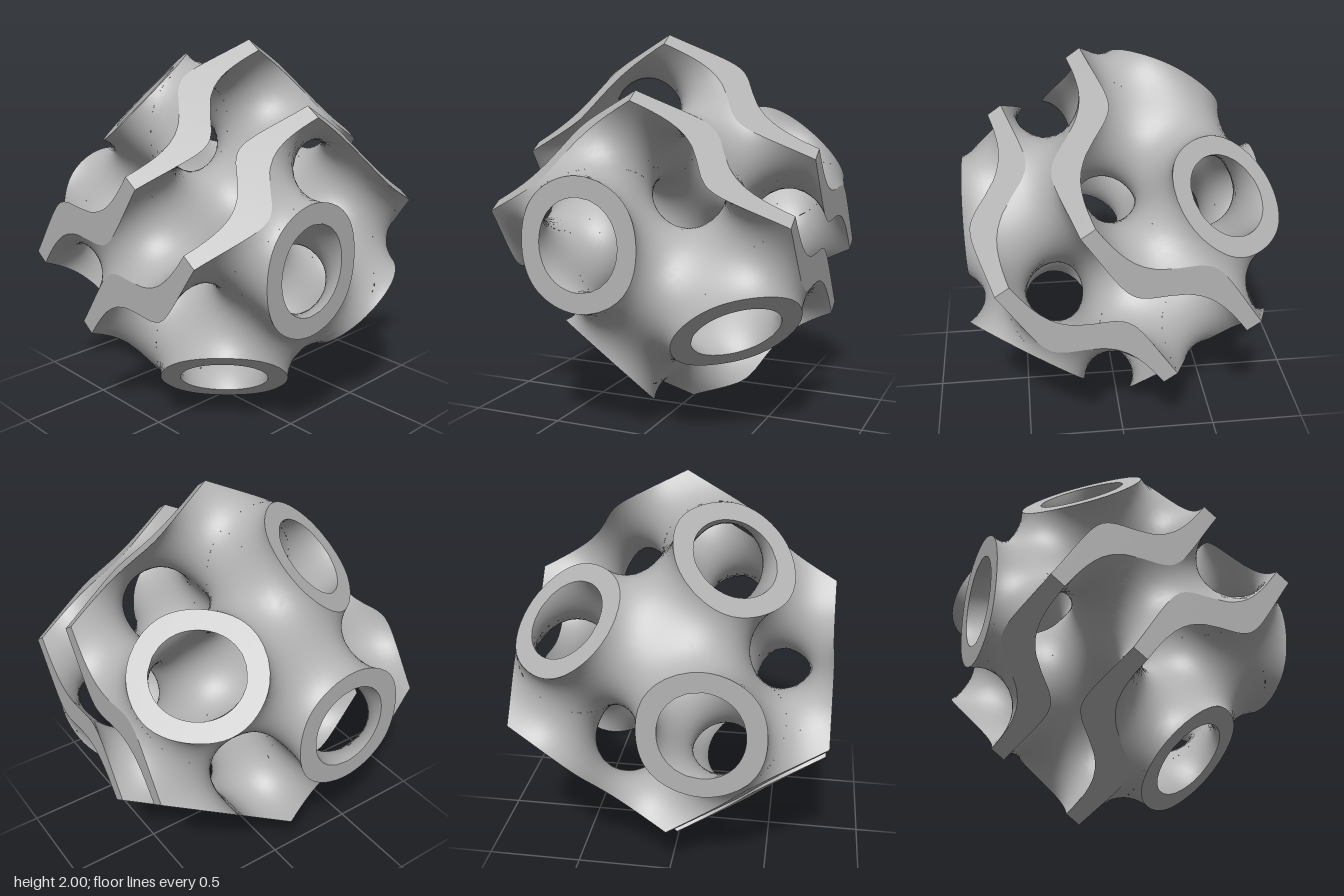
import * as THREE from 'three';

const N = 18;              // grid steps per rhombic pyramid
const WALL = 0.4;          // half thickness of the sheet, as a field value
const INRADIUS = 0.7887;   // centre to each cutting face
const SHIFT = Math.PI / 4; // puts a channel junction at the centre
const { sin, cos } = Math;

// Gyroid field and its gradient
function field(a) {
  const x = a.x + SHIFT, y = a.y + SHIFT, z = a.z + SHIFT;
  return sin(x) * cos(y) + sin(y) * cos(z) + sin(z) * cos(x);
}
function gradient(a) {
  const x = a.x + SHIFT, y = a.y + SHIFT, z = a.z + SHIFT;
  return new THREE.Vector3(
    cos(x) * cos(y) - sin(z) * sin(x),
    cos(y) * cos(z) - sin(x) * sin(y),
    cos(z) * cos(x) - sin(y) * sin(z));
}

// Point between a and b where side * field = WALL
function crossing(a, b, side) {
  const g = (p) => side * field(p) - WALL;
  let lo = a, hi = b, gl = g(a), gh = g(b), p = a;
  for (let i = 0; i < 3; i++) {
    p = lo.clone().lerp(hi, gl / (gl - gh));
    const gp = g(p);
    if ((gp < 0) === (gl < 0)) { lo = p; gl = gp; } else { hi = p; gh = gp; }
    if (Math.abs(gl - gh) < 1e-9) break;
  }
  return p;
}

// Collects triangles, turning each one to agree with its outward normals
function collector() {
  const pos = [], nor = [];
  const e1 = new THREE.Vector3(), e2 = new THREE.Vector3();
  return {
    add(pts, normalAt) {
      for (let i = 1; i + 1 < pts.length; i++) {
        let tri = [pts[0], pts[i], pts[i + 1]];
        e1.subVectors(tri[1], tri[0]);
        e2.subVectors(tri[2], tri[0]);
        e1.cross(e2);
        if (e1.lengthSq() < 1e-14) continue;
        if (e1.dot(normalAt(tri[0])) < 0) tri = [tri[0], tri[2], tri[1]];
        for (const p of tri) {
          const n = normalAt(p);
          pos.push(p.x, p.y, p.z);
          nor.push(n.x, n.y, n.z);
        }
      }
    },
    geometry(matrix) {
      const geo = new THREE.BufferGeometry();
      geo.setAttribute('position', new THREE.Float32BufferAttribute(pos, 3));
      geo.setAttribute('normal', new THREE.Float32BufferAttribute(nor, 3));
      return geo.applyMatrix4(matrix);
    },
  };
}

// One wall surface inside a tetrahedron
function cutTetra(out, tet, side) {
  const inside = [], outside = [];
  for (const c of tet) (side * c.f < WALL ? inside : outside).push(c.p);
  if (!inside.length || !outside.length) return;
  const cut = (a, b) => crossing(a, b, side);
  let pts;
  if (inside.length === 2) {
    const [a, b] = inside, [c, d] = outside;
    pts = [cut(a, c), cut(a, d), cut(b, d), cut(b, c)];
  } else {
    const [one, three] = inside.length === 1 ? [inside, outside] : [outside, inside];
    pts = three.map((q) => cut(one[0], q));
  }
  out.add(pts, (p) => gradient(p).multiplyScalar(side).normalize());
}

// The part of a polygon that lies within the wall
function clipToWall(poly) {
  for (const side of [1, -1]) {
    const kept = [];
    poly.forEach((a, i) => {
      const b = poly[(i + 1) % poly.length];
      const inA = side * field(a) < WALL + 1e-6, inB = side * field(b) < WALL + 1e-6;
      if (inA) kept.push(a);
      if (inA !== inB) kept.push(crossing(a, b, side));
    });
    poly = kept;
  }
  return poly;
}

// Corner paths of the six tetrahedra in a cell
const PATHS = [[0, 1, 2], [0, 2, 1], [1, 0, 2], [1, 2, 0], [2, 0, 1], [2, 1, 0]];

// Fills the pyramid from the centre to one rhombic face
function fillPyramid(walls, cuts, i, si, sj) {
  const j = (i + 1) % 3, k = (i + 2) % 3, L = 2 * Math.PI;
  const vec = (a, b, c) => new THREE.Vector3().setComponent(i, a).setComponent(j, b).setComponent(k, c);
  const start = vec(si * L, 0, 0);
  const sideA = vec(-si * L / 2, sj * L / 2, L / 2);
  const sideB = vec(-si * L / 2, sj * L / 2, -L / 2);
  const normal = vec(si, sj, 0).normalize();

  const M = N + 1, grid = [];
  for (let s = 0; s < M; s++) for (let t = 0; t < M; t++) for (let r = 0; r < M; r++) {
    const p = start.clone().addScaledVector(sideA, s / N).addScaledVector(sideB, t / N);
    p.multiplyScalar(0.1 + 0.9 * r / N);
    grid.push({ p, f: field(p) });
  }
  const at = (c) => grid[(c[0] * M + c[1]) * M + c[2]];

  for (let s = 0; s < N; s++) for (let t = 0; t < N; t++) {
    for (let r = 0; r < N; r++) {
      for (const path of PATHS) {
        const c = [s, t, r], tet = [at(c)];
        for (const axis of path) { c[axis]++; tet.push(at(c)); }
        cutTetra(walls, tet, 1);
        cutTetra(walls, tet, -1);
      }
    }
    // flat cut surface on the outer face
    const q = [[s, t], [s + 1, t], [s + 1, t + 1], [s, t + 1]].map(([a, b]) => at([a, b, N]).p);
    cuts.add(clipToWall([q[0], q[1], q[2]]), () => normal);
    cuts.add(clipToWall([q[0], q[2], q[3]]), () => normal);
  }
}

export function createModel() {
  const group = new THREE.Group();
  group.name = 'gyroidSolid';
  const grey = new THREE.MeshStandardMaterial({ color: 0xb4b4b4 });
  grey.name = 'grey';

  const walls = collector(), cuts = collector();
  for (let i = 0; i < 3; i++) {
    for (const si of [1, -1]) for (const sj of [1, -1]) fillPyramid(walls, cuts, i, si, sj);
  }

  // Stand the solid on one four-sided corner, with flat faces at the sides
  const h = Math.SQRT1_2, size = INRADIUS * Math.SQRT2 / (2 * Math.PI);
  const matrix = new THREE.Matrix4().makeBasis(
    new THREE.Vector3(h, 0, -h), new THREE.Vector3(h, 0, h), new THREE.Vector3(0, -1, 0));
  matrix.scale(new THREE.Vector3(size, size, size)).setPosition(0, 1, 0);

  const sheet = new THREE.Mesh(walls.geometry(matrix), grey);
  sheet.name = 'curvedSheet';
  const faces = new THREE.Mesh(cuts.geometry(matrix), grey);
  faces.name = 'cutFaces';
  group.add(sheet, faces);
  return group;
}
